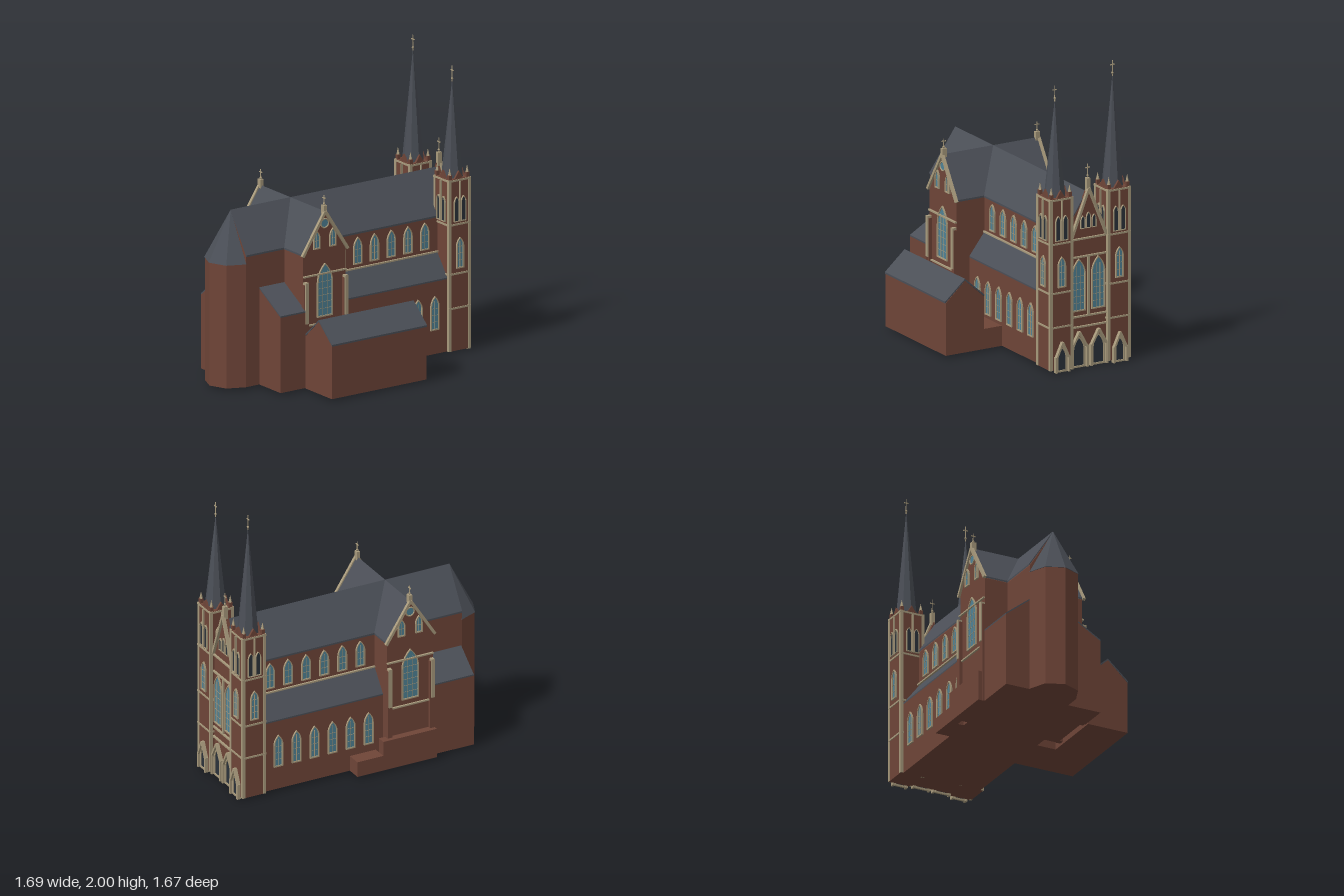
import * as THREE from 'three';

const mat = (color) => new THREE.MeshStandardMaterial({ color, flatShading: true, side: THREE.DoubleSide });
const BRICK = mat(0x6f4538), SLATE = mat(0x4b4f57), STONE = mat(0xa89a7c), GLASS = mat(0x4f8296), DARK = mat(0x2b323a);
const AXIS = -0.038, BASE = 0.015; // z of the nave axis, foot of the walls

function add(parent, name, geo, material) {
  const m = new THREE.Mesh(geo, material);
  m.name = name;
  parent.add(m);
  return m;
}

// Box given by its limits
function block(parent, name, material, [x0, x1], [y0, y1], [z0, z1]) {
  const g = new THREE.BoxGeometry(x1 - x0, y1 - y0, z1 - z0);
  g.translate((x0 + x1) / 2, (y0 + y1) / 2, (z0 + z1) / 2);
  return add(parent, name, g, material);
}

function extrude(shape, depth) {
  return new THREE.ExtrudeGeometry(shape, { depth, bevelEnabled: false, curveSegments: 5 });
}
const poly = (pts) => new THREE.Shape(pts.map(([a, b]) => new THREE.Vector2(a, b)));

// Profile [z, y] swept along x, or profile [x, y] swept along z
function alongX(parent, name, material, pts, x0, x1) {
  const g = extrude(poly(pts.map(([z, y]) => [-z, y])), x1 - x0).rotateY(Math.PI / 2);
  return add(parent, name, g.translate(x0, 0, 0), material);
}
function alongZ(parent, name, material, pts, z0, z1) {
  return add(parent, name, extrude(poly(pts), z1 - z0).translate(0, 0, z0), material);
}

// Gabled body: brick pentagon below, slate chevron on top
function gabled(parent, name, sweep, c, half, eave, ridge, from, to) {
  const t = 0.012, e = eave - t, r = ridge - t;
  sweep(parent, name + 'Walls', BRICK, [[c - half, BASE], [c + half, BASE], [c + half, e], [c, r], [c - half, e]], from, to);
  const o = half + 0.004;
  sweep(parent, name + 'Roof', SLATE, [[c - o, e], [c, r], [c + o, e], [c + o, eave], [c, ridge], [c - o, eave]], from, to);
}

// Lean-to against a wall at z = inner
function leanTo(parent, name, outer, inner, low, high, x0, x1) {
  alongX(parent, name + 'Walls', BRICK, [[outer, BASE], [inner, BASE], [inner, high - 0.01], [outer, low - 0.01]], x0, x1);
  alongX(parent, name + 'Roof', SLATE, [[outer, low - 0.01], [inner, high - 0.01], [inner, high], [outer, low]], x0, x1);
}

// Flat group facing +z that carries the ornament of one wall
function face(parent, name, x, z, turn) {
  const g = new THREE.Group();
  g.name = name;
  g.position.set(x, 0, z);
  g.rotation.y = turn;
  parent.add(g);
  return g;
}

// Straight stone strip between two points on a face
function strip(f, name, x0, y0, x1, y1, w = 0.014, d = 0.016) {
  const m = add(f, name, new THREE.BoxGeometry(Math.hypot(x1 - x0, y1 - y0), w, d), STONE);
  m.position.set((x0 + x1) / 2, (y0 + y1) / 2, d / 2 - 0.003);
  m.rotation.z = Math.atan2(y1 - y0, x1 - x0);
}

function lancetPath(w, h, Type) {
  const s = h - w * 1.1, p = new Type();
  p.moveTo(-w / 2, 0);
  p.lineTo(w / 2, 0);
  p.lineTo(w / 2, s);
  p.quadraticCurveTo(w / 2, s + w * 0.6, 0, h);
  p.quadraticCurveTo(-w / 2, s + w * 0.6, -w / 2, s);
  p.lineTo(-w / 2, 0);
  return p;
}

// Pointed window: stone frame, pane and glazing bars
function lancet(f, name, x, y, w, h, pane = GLASS, fr = 0.009) {
  const g = new THREE.Group();
  g.name = name;
  g.position.set(x, y, 0);
  f.add(g);
  const outer = lancetPath(w + 2 * fr, h + 2 * fr, THREE.Shape);
  const hole = new THREE.Path(lancetPath(w, h, THREE.Path).getPoints(5).map((p) => p.add(new THREE.Vector2(0, fr))));
  outer.holes.push(hole);
  add(g, 'frame', extrude(outer, 0.013), STONE).position.set(0, -fr, -0.002);
  add(g, 'pane', extrude(lancetPath(w, h, THREE.Shape), 0.004), pane);
  if (pane !== GLASS) return;
  const n = w > 0.07 ? 3 : 2;
  for (let i = 1; i < n; i++) block(g, 'mullion', STONE, [w * (i / n - 0.5) - 0.0015, w * (i / n - 0.5) + 0.0015], [0, h - w * 0.45], [0, 0.007]);
  for (let b = 0.045; b < h - w * 0.8; b += 0.045) block(g, 'glazingBar', STONE, [-w / 2, w / 2], [b, b + 0.002], [0, 0.006]);
}

// Cross standing at a point, arms along z
function cross(parent, x, y, z, h) {
  const g = new THREE.Group();
  g.name = 'crossFinial';
  g.position.set(x, y, z);
  parent.add(g);
  add(g, 'pole', new THREE.CylinderGeometry(0.003, 0.004, h, 6), STONE).position.y = h / 2;
  add(g, 'knob', new THREE.SphereGeometry(0.008, 8, 6), STONE).position.y = h * 0.2;
  block(g, 'arms', STONE, [-0.003, 0.003], [h * 0.7, h * 0.7 + 0.006], [-0.016, 0.016]);
}

function buildTower(parent, z, outerTurn, tip) {
  const t = face(parent, 'tower', 0.8, z, 0), H = 0.0825;
  block(t, 'shaft', BRICK, [-H, H], [BASE, 1.165], [-H, H]);
  for (const y of [0.3, 0.53, 0.86, 1.155]) block(t, 'stringCourse', STONE, [-H - 0.005, H + 0.005], [y - 0.005, y + 0.007], [-H - 0.005, H + 0.005]);
  for (const sx of [-1, 1]) for (const sz of [-1, 1]) {
    const x = sx * (H - 0.006), q = sz * (H - 0.006);
    block(t, 'cornerStrip', STONE, [x - 0.01, x + 0.01], [BASE, 1.165], [q - 0.01, q + 0.01]);
    add(t, 'pinnacleBase', new THREE.BoxGeometry(0.022, 0.03, 0.022), BRICK).position.set(x * 0.9, 1.18, q * 0.9);
    add(t, 'pinnacle', new THREE.ConeGeometry(0.013, 0.05, 4), STONE).position.set(x * 0.9, 1.22, q * 0.9);
  }
  for (let i = 0; i < 4; i++) {
    const a = i * Math.PI / 2, f = face(t, 'towerFace', H * Math.sin(a), H * Math.cos(a), a);
    for (const s of [-1, 1]) lancet(f, 'belfryOpening', s * 0.027, 0.885, 0.03, 0.16, DARK, 0.005);
    alongZ(f, 'parapetGable', BRICK, [[-0.035, 1.16], [0.035, 1.16], [0, 1.215]], -0.02, -0.005);
    strip(f, 'pilaster', 0, 0.88, 0, 1.15, 0.008);
    if (i === 1 || i === outerTurn) lancet(f, 'towerWindow', 0, 0.575, 0.042, 0.19);
  }
  add(t, 'spireFoot', new THREE.CylinderGeometry(0.068, 0.07, 0.03, 8), SLATE).position.y = 1.175;
  const h = tip - 1.19;
  add(t, 'spire', new THREE.ConeGeometry(0.068, h, 8), SLATE).position.y = 1.19 + h / 2;
  cross(t, 0, tip - 0.015, 0, 0.105);
}

function portal(f, x, w, h) {
  lancet(f, 'portal', x, 0.012, w, h, DARK, 0.012);
  const o = w / 2 + 0.02;
  for (const s of [-1, 1]) {
    strip(f, 'portalGable', x + s * o, h - 0.05, x, h + 0.055, 0.013, 0.028);
    strip(f, 'portalPier', x + s * o, 0, x + s * o, h - 0.04, 0.014, 0.028);
  }
}

function transeptFront(parent, z, turn) {
  const f = face(parent, 'transeptFront', -0.32, z, turn);
  lancet(f, 'greatWindow', 0, 0.47, 0.105, 0.34);
  for (const s of [-1, 1]) {
    lancet(f, 'gableWindow', s * 0.063, 0.93, 0.034, 0.105);
    strip(f, 'gableCoping', s * 0.178, 0.888, 0, 1.165, 0.018, 0.02);
    block(f, 'buttress', BRICK, [s * 0.155 - 0.018, s * 0.155 + 0.018], [BASE, 0.7], [-0.01, 0.022]);
    block(f, 'buttressFacing', STONE, [s * 0.155 - 0.012, s * 0.155 + 0.012], [0.44, 0.715], [0, 0.03]);
  }
  add(f, 'roundWindow', new THREE.CircleGeometry(0.028, 20), GLASS).position.set(0, 1.085, 0.004);
  add(f, 'roundWindowFrame', new THREE.TorusGeometry(0.03, 0.005, 6, 20), STONE).position.set(0, 1.085, 0.004);
  strip(f, 'stringCourse', -0.168, 0.75, 0.168, 0.75, 0.01);
  strip(f, 'stringCourse', -0.168, 0.42, 0.168, 0.42, 0.01);
  block(f, 'finialBase', STONE, [-0.012, 0.012], [1.14, 1.205], [-0.02, 0.012]);
  cross(f, 0, 1.2, -0.004, 0.07);
}

export function createModel() {
  const model = new THREE.Group();
  const church = face(model, 'church', 0, 0, 0.707);

  // Nave with choir, transept and apse
  gabled(church, 'nave', alongX, AXIS, 0.168, 0.9, 1.165, -0.79, 0.835);
  gabled(church, 'transept', alongZ, -0.32, 0.168, 0.9, 1.165, -0.37, 0.337);
  add(church, 'apseWalls', new THREE.CylinderGeometry(0.168, 0.168, 0.84 - BASE, 8), BRICK).position.set(-0.791, (0.84 + BASE) / 2, AXIS);
  add(church, 'apseRoof', new THREE.ConeGeometry(0.172, 0.325, 8), SLATE).position.set(-0.791, 1.0025, AXIS);
  transeptFront(church, 0.337, 0);
  transeptFront(church, -0.37, Math.PI);

  // Aisles and choir chapels
  for (const s of [-1, 1]) {
    const wall = AXIS + s * 0.168, outer = AXIS + s * 0.28, turn = s > 0 ? 0 : Math.PI;
    leanTo(church, 'aisle', outer, wall, 0.51, 0.655, -0.16, 0.73);
    const upper = face(church, 'clerestoryWindows', 0, wall, turn), lower = face(church, 'aisleWindows', 0, outer, turn);
    for (let i = 0; i < 6; i++) {
      const x = s * (-0.045 + 0.132 * i);
      lancet(upper, 'clerestoryWindow', x, 0.695, 0.05, 0.165);
      lancet(lower, 'aisleWindow', x, 0.185, 0.05, 0.21);
    }
    strip(upper, 'stringCourse', s * -0.15, 0.66, s * 0.72, 0.66, 0.01);
  }
  leanTo(church, 'northChapel', -0.375, AXIS - 0.165, 0.52, 0.655, -0.785, -0.48);
  leanTo(church, 'southChapel', 0.365, AXIS + 0.163, 0.53, 0.67, -0.685, -0.48);

  // West front between the towers
  block(church, 'westWall', BRICK, [0.72, 0.855], [BASE, 0.87], [AXIS - 0.14, AXIS + 0.14]);
  alongX(church, 'westGable', BRICK, [[AXIS - 0.135, 0.86], [AXIS + 0.135, 0.86], [AXIS, 1.19]], 0.825, 0.855);
  const west = face(church, 'westFront', 0.855, AXIS, Math.PI / 2);
  for (const s of [-1, 1]) {
    lancet(west, 'westWindow', s * 0.073, 0.385, 0.085, 0.335);
    portal(west, s * 0.073, 0.075, 0.185);
    strip(west, 'gableCoping', s * 0.133, 0.865, 0, 1.195, 0.016, 0.022);
    lancet(west, 'gableOpening', s * 0.042, 0.93, 0.026, 0.08, DARK, 0.004);
  }
  lancet(west, 'gableOpening', 0, 0.93, 0.026, 0.1, DARK, 0.004);
  for (const y of [0.27, 0.34, 0.74, 0.86]) strip(west, 'stringCourse', -0.135, y, 0.135, y, 0.011);
  strip(west, 'pilaster', 0, 0.34, 0, 0.74, 0.012);
  block(west, 'finialBase', STONE, [-0.012, 0.012], [1.17, 1.26], [-0.02, 0.01]);
  cross(church, 0.85, 1.255, AXIS, 0.1);

  // Towers with their side portals
  for (const [s, tip] of [[-1, 1.91], [1, 1.81]]) {
    buildTower(church, AXIS + s * 0.216, s > 0 ? 0 : 2, tip);
    portal(face(church, 'towerPortal', 0.8825, AXIS + s * 0.216, Math.PI / 2), 0, 0.055, 0.145);
  }

  // Parish hall, its link and the low northern annex
  gabled(church, 'hall', alongZ === null ? alongZ : alongX, 0.52, 0.144, 0.38, 0.51, -0.495, 0.253);
  block(church, 'hallLink', BRICK, [-0.055, 0.253], [BASE, 0.15], [0.23, 0.39]);
  block(church, 'northAnnex', BRICK, [-0.49, -0.1], [BASE, 0.22], [-0.42, -0.36]);
  block(church, 'northPorch', BRICK, [-0.1, 0.09], [BASE, 0.12], [-0.42, -0.31]);
  return model;
}
